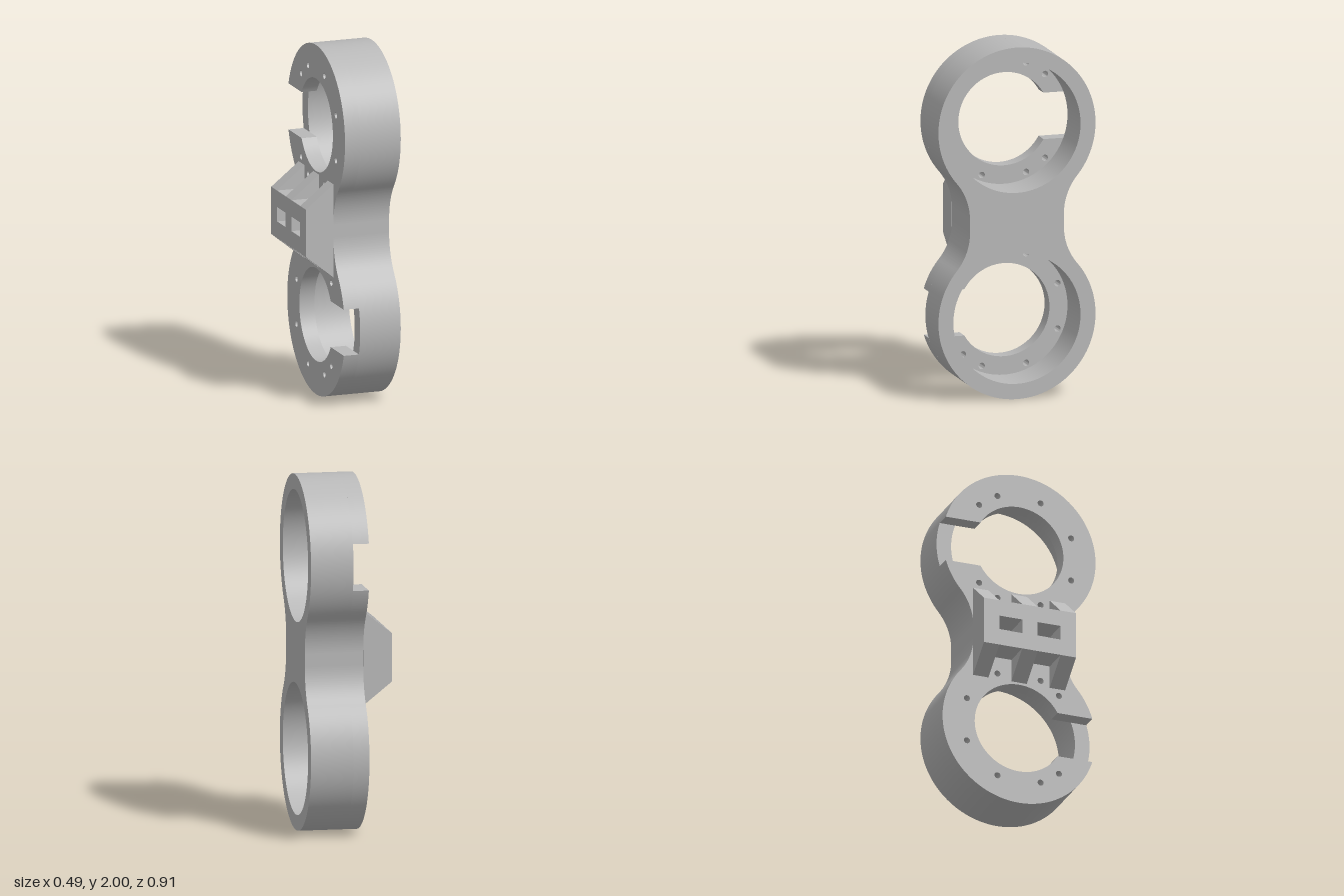
import * as THREE from 'three';
import { toCreasedNormals } from 'three/addons/utils/BufferGeometryUtils.js';

const R = 0.457, BORE = 0.37, LIP = 0.265;   // ring radii
const CY = 0.543;                            // ring centre above the middle
const WAIST = 0.273, FILLET = 0.335;
const NOTCH = 0.132;                         // half height of the side notch
const X0 = -0.085, X1 = 0.005, X2 = 0.245;   // back face, lip floor, front face

// Upper half of the figure-eight outline; optionally cut open through the notch
function halfOutline(notched) {
  const p = new THREE.Path();
  const c = WAIST + FILLET;
  const fy = CY - Math.sqrt((R + FILLET) ** 2 - c * c);
  const a = Math.atan2(CY - fy, -c);
  p.absarc(c, fy, FILLET, Math.PI, a, true);
  if (notched) {
    const n = Math.asin(NOTCH / R), m = Math.asin(NOTCH / LIP);
    p.absarc(0, CY, R, a - Math.PI, -n, false);
    p.absarc(0, CY, LIP, -m, m, true);
    p.absarc(0, CY, R, n, 2 * Math.PI - a, false);
  } else {
    p.absarc(0, CY, R, a - Math.PI, 2 * Math.PI - a, false);
  }
  p.absarc(-c, fy, FILLET, Math.PI - a, 0, true);
  return p.getPoints(48);
}

// Whole outline: the lower half is the upper half turned by 180 degrees
function plateShape(notched) {
  const half = halfOutline(notched);
  return new THREE.Shape([...half, ...half.map(v => new THREE.Vector2(-v.x, -v.y))]);
}

function hole(x, y, r) {
  return new THREE.Path().absarc(x, y, r, 0, Math.PI * 2, true);
}

// Extrude along x between two planes
function layer(shape, from, to) {
  const g = new THREE.ExtrudeGeometry(shape, { depth: to - from, bevelEnabled: false, curveSegments: 48 });
  g.rotateY(Math.PI / 2);
  g.translate(from, 1, 0);
  return toCreasedNormals(g, 0.5);
}

export function createModel() {
  const model = new THREE.Group();
  model.name = 'twinRingBracket';
  const grey = new THREE.MeshStandardMaterial({ color: 0xb8b8b8 });
  grey.name = 'grey';
  const add = (name, geometry, parent = model) => {
    const mesh = new THREE.Mesh(geometry, grey);
    mesh.name = name;
    parent.add(mesh);
    return mesh;
  };

  // Deep body with two wide bores
  const body = plateShape(false);
  body.holes.push(hole(0, CY, BORE), hole(0, -CY, BORE));
  add('ringBody', layer(body, X1, X2));

  // Back layer: inner lips, side notches and screw holes
  const lip = plateShape(true);
  for (const deg of [45, 67.5, 112.5, 157.5]) {
    for (const side of [1, -1]) {
      const t = THREE.MathUtils.degToRad(deg) * side;
      const x = 0.337 * Math.cos(t), y = CY + 0.337 * Math.sin(t);
      lip.holes.push(hole(x, y, 0.018), hole(-x, -y, 0.018));
    }
  }
  add('lipLayer', layer(lip, X0, X1));

  // Mounting block: three tapered ribs joined by slabs that leave two square pockets
  const block = new THREE.Group();
  block.name = 'mountingBlock';
  model.add(block);
  const profile = new THREE.Shape([
    [X0, 0.735], [X0, 1.268], [-0.248, 1.137], [-0.248, 0.866],
  ].map(([x, y]) => new THREE.Vector2(x, y)));
  for (const z of [-0.229, 0, 0.229]) {
    const g = new THREE.ExtrudeGeometry(profile, { depth: 0.092, bevelEnabled: false });
    add('rib', g, block).position.z = z - 0.046;
  }
  for (const z of [-0.1145, 0.1145]) {
    for (const [low, high] of [[0.866, 0.96], [1.043, 1.137]]) {
      const g = new THREE.BoxGeometry(X0 + 0.248, high - low, 0.137);
      add('slab', g, block).position.set((X0 - 0.248) / 2, (low + high) / 2, z);
    }
  }
  return model;
}
